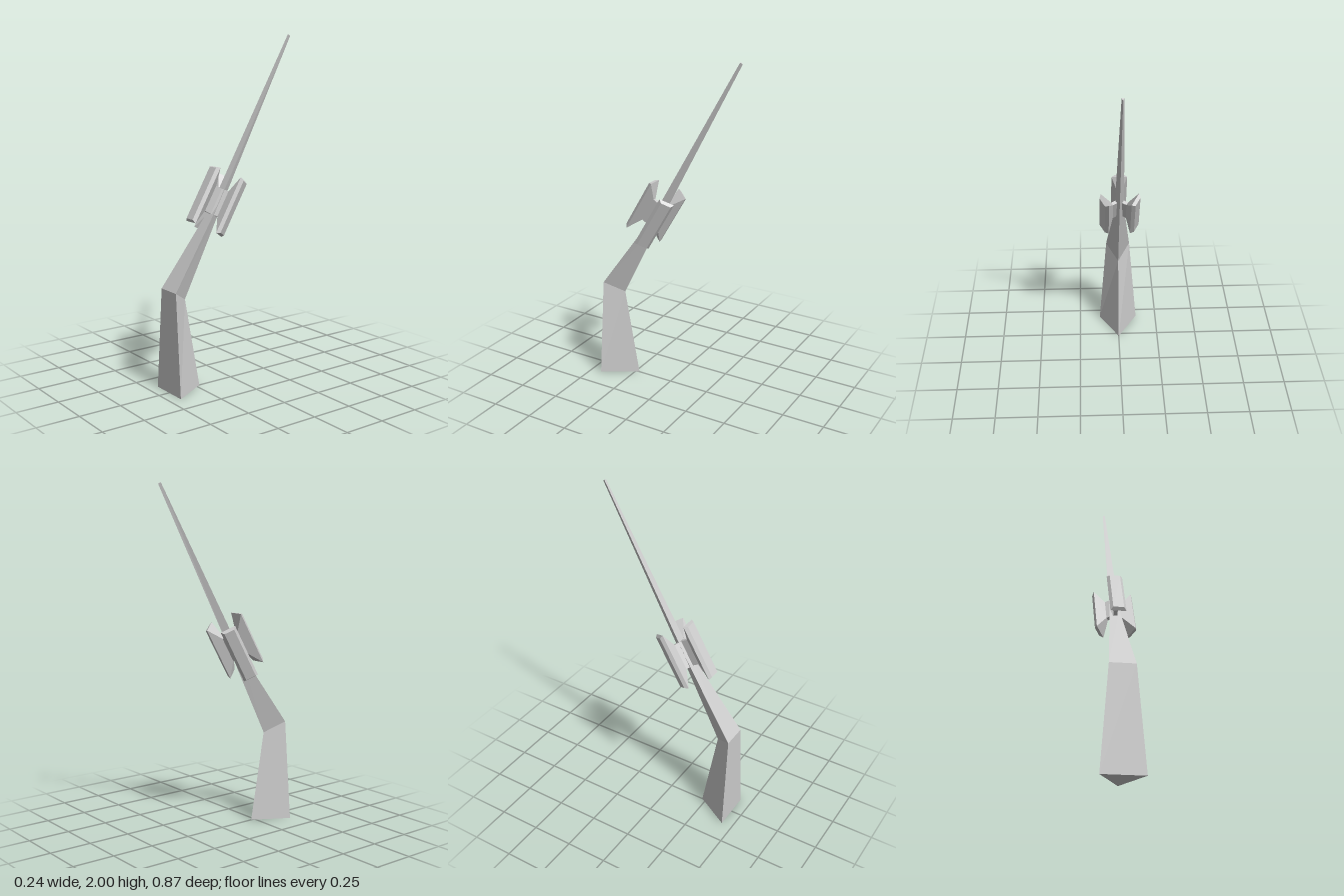
import * as THREE from 'three';

const material = new THREE.MeshStandardMaterial({ color: 0xcccccc, flatShading: true });

// Closed faceted solid through rings of equal corner count (counter-clockwise seen from the last ring)
function loft(rings) {
  const pos = [];
  const tri = (a, b, c) => pos.push(...a, ...b, ...c);
  const n = rings[0].length;
  for (let i = 0; i < rings.length - 1; i++) {
    for (let j = 0; j < n; j++) {
      const k = (j + 1) % n;
      const [a, b, c, d] = [rings[i][j], rings[i][k], rings[i + 1][k], rings[i + 1][j]];
      tri(a, b, c);
      tri(a, c, d);
    }
  }
  const first = rings[0], last = rings[rings.length - 1];
  for (let j = 1; j < n - 1; j++) {
    tri(first[0], first[j + 1], first[j]);
    tri(last[0], last[j], last[j + 1]);
  }
  const g = new THREE.BufferGeometry();
  g.setAttribute('position', new THREE.Float32BufferAttribute(pos, 3));
  g.computeVertexNormals();
  return g;
}

function addMesh(parent, name, geometry) {
  const mesh = new THREE.Mesh(geometry, material);
  mesh.name = name;
  parent.add(mesh);
  return mesh;
}

// Triangle with a flat front edge and a single back corner
const triangle = (halfWidth, yFront, zFront, yBack, zBack) => [
  [-halfWidth, yFront, zFront], [halfWidth, yFront, zFront], [0, yBack, zBack],
];

// Rectangle at a given distance out from the hub axis
const rectangle = (radius, halfWidth, halfLength) => [
  [-halfWidth, -halfLength, radius], [halfWidth, -halfLength, radius],
  [halfWidth, halfLength, radius], [-halfWidth, halfLength, radius],
];

export function createModel() {
  const model = new THREE.Group();
  model.name = 'bentSpire';

  // Three-sided stock, bent at the grip and tapering to the needle
  const grip = triangle(0.073, 0.595, 0.428, 0.53, 0.32);
  const waist = triangle(0.028, 1.05, 0.11, 1.028, 0.07);
  addMesh(model, 'stock', loft([triangle(0.12, 0, 0.433, 0, 0.225), grip]));
  addMesh(model, 'neck', loft([grip, waist]));
  addMesh(model, 'needle', loft([waist, triangle(0.007, 2, -0.42, 1.992, -0.433)]));

  // Three flared fins around the tilted hub axis
  const hub = new THREE.Group();
  hub.name = 'finHub';
  hub.position.set(0, 1.068, 0.1025);
  hub.rotation.x = -Math.PI / 6;
  model.add(hub);
  const fin = loft([
    rectangle(0, 0.01, 0.079),
    rectangle(0.05, 0.01, 0.079),
    rectangle(0.099, 0.045, 0.172),
    rectangle(0.117, 0.03, 0.161),
  ]);
  ['frontFin', 'leftFin', 'rightFin'].forEach((name, i) => {
    addMesh(hub, name, fin).rotation.y = (i * Math.PI * 2) / 3;
  });

  return model;
}
